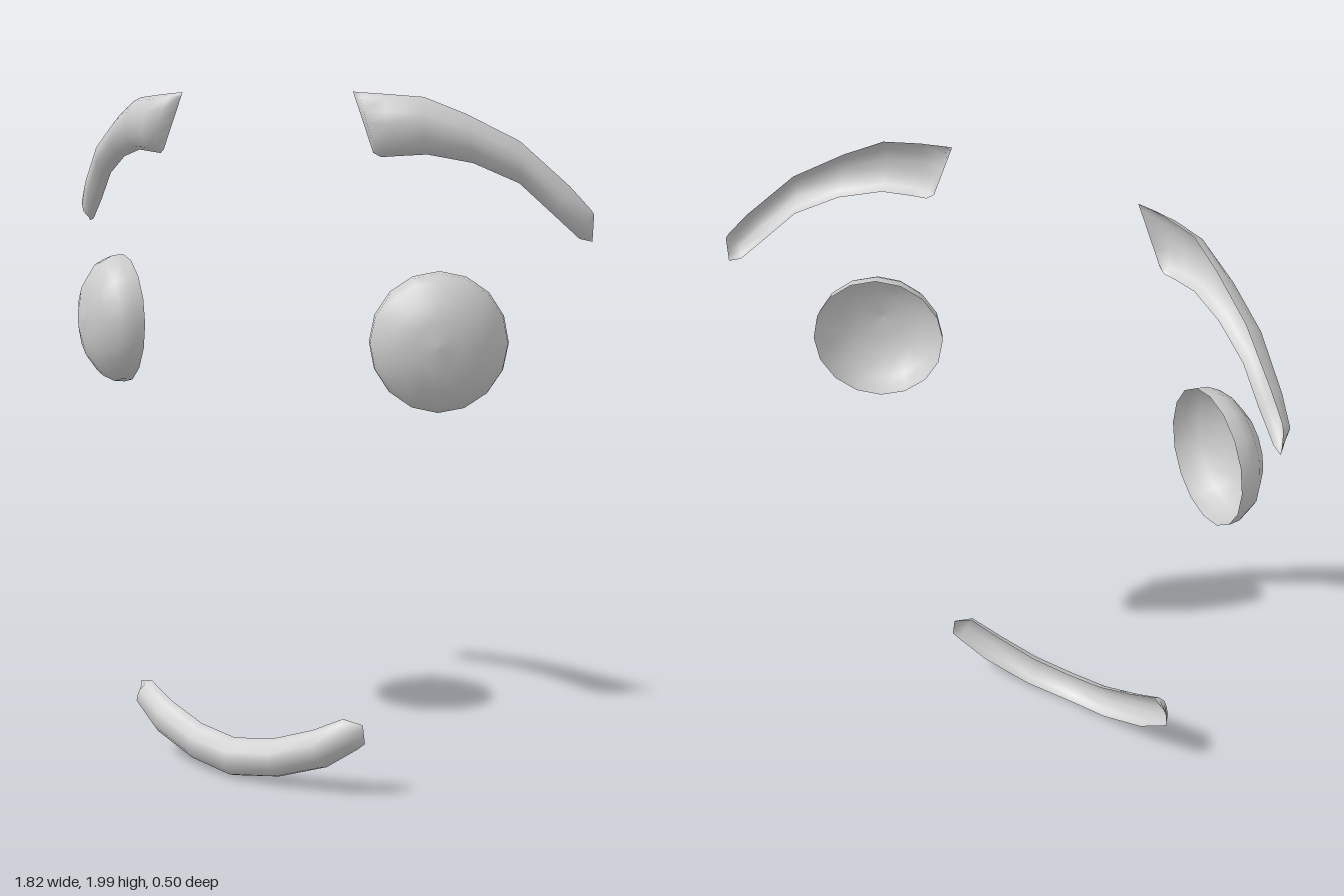
import * as THREE from 'three';

const grey = new THREE.MeshStandardMaterial({ color: 0xcccccc, side: THREE.DoubleSide });
grey.name = 'plain grey';

// cross-section of a hollow strip: [fraction from top to bottom edge, fraction of bulge]
const SECTION = [[0, 0], [0.08, 0.5], [0.3, 0.95], [0.5, 1], [0.72, 0.95], [0.93, 0.5], [1, 0]];

// station: [top edge xyz, bottom edge xyz, bulge]; mirrored stations run the other way
const mirror = (stations) =>
  stations.map(([t, b, d]) => [[-t[0], t[1], t[2]], [-b[0], b[1], b[2]], d]).reverse();

// open-backed strip lofted through stations ordered from -x to +x
function strip(name, stations) {
  const rows = stations.map(([t, b, d]) => ({
    t: new THREE.Vector3(...t), b: new THREE.Vector3(...b), d,
  }));
  const mids = rows.map((r) => r.t.clone().add(r.b).multiplyScalar(0.5));
  const pos = [], idx = [], n = SECTION.length;
  rows.forEach((r, i) => {
    const along = mids[Math.min(i + 1, mids.length - 1)].clone().sub(mids[Math.max(i - 1, 0)]);
    const out = along.cross(r.t.clone().sub(r.b)).normalize();
    SECTION.forEach(([s, k], j) => {
      const p = r.t.clone().lerp(r.b, s).addScaledVector(out, k * r.d);
      pos.push(p.x, p.y, p.z);
      if (i < rows.length - 1 && j < n - 1) {
        const a = i * n + j, c = a + n;
        idx.push(a, a + 1, c, a + 1, c + 1, c);
      }
    });
  });
  const g = new THREE.BufferGeometry();
  g.setAttribute('position', new THREE.Float32BufferAttribute(pos, 3));
  g.setIndex(idx);
  g.computeVertexNormals();
  const mesh = new THREE.Mesh(g, grey);
  mesh.name = name;
  return mesh;
}

// hollow dome, open at the back and turned outwards
function eye(name, side) {
  const profile = [[0.194, 0], [0.19, 0.035], [0.172, 0.07], [0.122, 0.108], [0.065, 0.127], [0, 0.133]]
    .map(([r, y]) => new THREE.Vector2(r, y));
  const g = new THREE.LatheGeometry(profile, 16);
  g.rotateX(Math.PI / 2);
  g.scale(1, 1.02, 1);
  g.rotateY(side * 0.545);
  const mesh = new THREE.Mesh(g, grey);
  mesh.name = name;
  mesh.position.set(side * 0.565, 1.312, 0);
  return mesh;
}

export function createModel() {
  const group = new THREE.Group();
  group.name = 'face features';

  // eyebrows, thick at the inner end and swept back at the outer end
  const brow = [
    [[0.30, 2.0, 0.037], [0.37, 1.832, 0.04], 0],
    [[0.325, 1.998, 0.034], [0.39, 1.82, 0.03], 0.04],
    [[0.40, 1.993, 0.018], [0.43, 1.823, 0.016], 0.05],
    [[0.50, 1.985, -0.015], [0.51, 1.828, -0.018], 0.05],
    [[0.60, 1.94, -0.07], [0.62, 1.805, -0.08], 0.05],
    [[0.73, 1.865, -0.145], [0.73, 1.75, -0.145], 0.05],
    [[0.85, 1.742, -0.215], [0.81, 1.665, -0.195], 0.045],
    [[0.90, 1.68, -0.243], [0.875, 1.598, -0.23], 0.033],
    [[0.908, 1.665, -0.25], [0.906, 1.59, -0.248], 0],
  ];
  group.add(strip('leftEyebrow', brow), strip('rightEyebrow', mirror(brow)));

  // eyes
  group.add(eye('leftEye', 1), eye('rightEye', -1));

  // smiling mouth
  const half = [
    [[0, 0.12, 0.195], [0, 0.006, 0.2], 0.048],
    [[0.13, 0.137, 0.183], [0.15, 0.025, 0.18], 0.048],
    [[0.26, 0.182, 0.165], [0.30, 0.075, 0.155], 0.047],
    [[0.35, 0.226, 0.147], [0.39, 0.138, 0.132], 0.04],
    [[0.405, 0.212, 0.127], [0.412, 0.157, 0.126], 0],
  ];
  group.add(strip('mouth', [...mirror(half.slice(1)), ...half]));

  return group;
}
